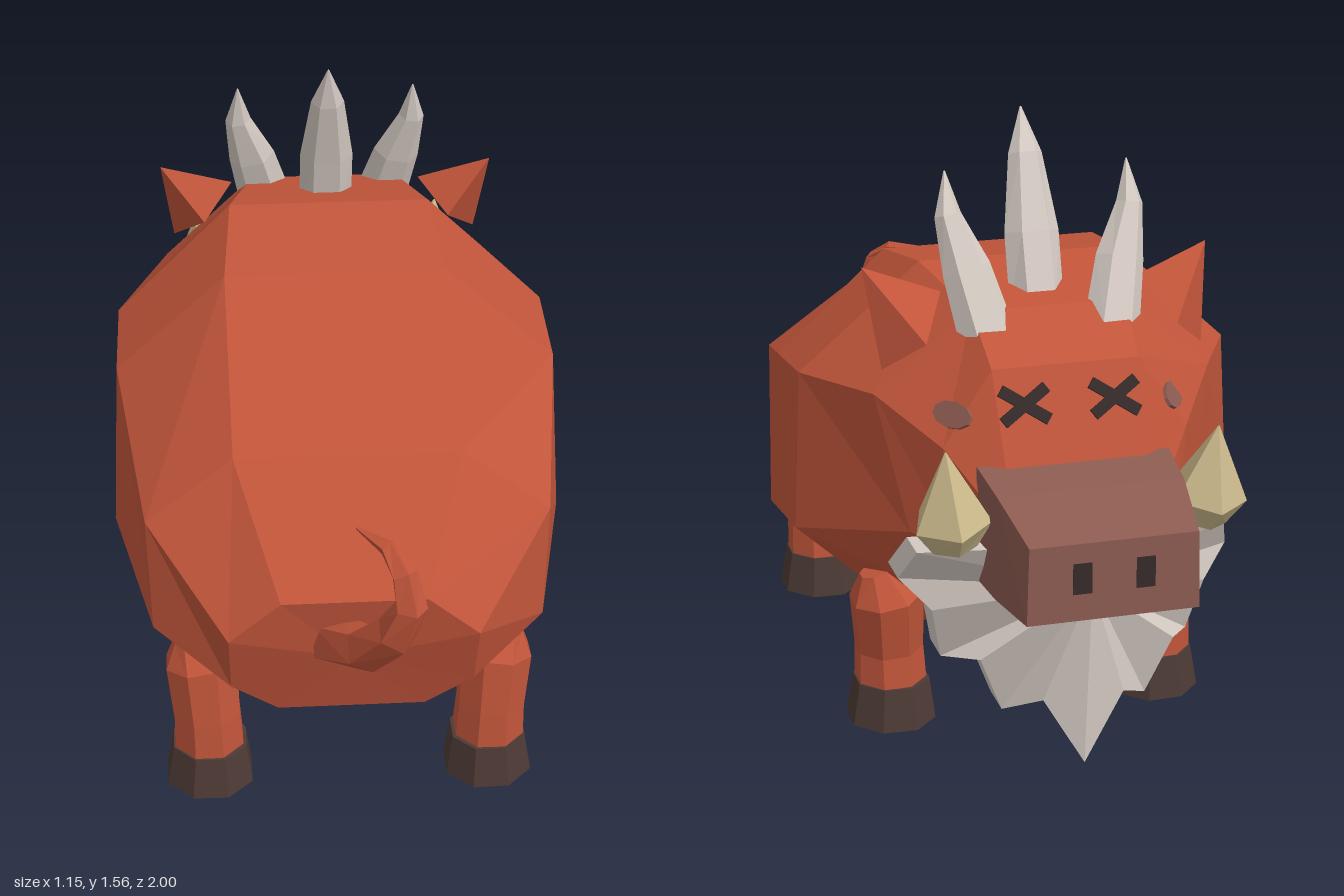
import * as THREE from 'three';

const mat = (name, color) => {
  const m = new THREE.MeshStandardMaterial({ color, flatShading: true });
  m.name = name;
  return m;
};
const hide = mat('rust hide', 0xc1553a);
const skin = mat('snout skin', 0x8c5b51);
const hoofMat = mat('dark hoof', 0x4d3a35);
const ink = mat('eye black', 0x352a29);
const hair = mat('pale hair', 0xd6ccc4);
const ivory = mat('ivory', 0xccba8c);

const V = (p) => new THREE.Vector3(...p);

// Skins a stack of rings (right-handed about the direction of advance) and caps both ends.
function loft(rings, endCentre) {
  const pos = [];
  const tri = (...pts) => pts.forEach((p) => pos.push(p.x, p.y, p.z));
  const mean = (r) => r.reduce((s, p) => s.add(p), new THREE.Vector3()).divideScalar(r.length);
  const n = rings[0].length;
  const first = rings[0], last = rings[rings.length - 1];
  const c0 = mean(first), c1 = endCentre || mean(last);
  for (let j = 0; j < n; j++) {
    const k = (j + 1) % n;
    for (let i = 0; i < rings.length - 1; i++) {
      const a = rings[i], b = rings[i + 1];
      tri(a[j], a[k], b[k]);
      tri(a[j], b[k], b[j]);
    }
    tri(c0, first[k], first[j]);
    tri(c1, last[j], last[k]);
  }
  const g = new THREE.BufferGeometry();
  g.setAttribute('position', new THREE.Float32BufferAttribute(pos, 3));
  g.computeVertexNormals();
  return g;
}

// Faceted limb along stations [x, y, z, radius across, radius in depth].
function limb(stations, sides, turn = 0) {
  const pts = stations.map((s) => V(s.slice(0, 3)));
  return loft(stations.map((s, i) => {
    const t = pts[Math.min(i + 1, pts.length - 1)].clone().sub(pts[Math.max(i - 1, 0)]).normalize();
    const u = new THREE.Vector3(1, 0, 0).addScaledVector(t, -t.x).normalize();
    const v = t.clone().cross(u);
    return Array.from({ length: sides }, (_, j) => {
      const a = turn + (j / sides) * Math.PI * 2;
      return pts[i].clone().addScaledVector(u, Math.cos(a) * s[3])
        .addScaledVector(v, Math.sin(a) * (s[4] ?? s[3]));
    });
  }));
}

// Closes a half outline (top to bottom on +x) with its mirror image.
const symmetric = (half) => [
  ...half.map(V),
  ...half.filter((p) => p[0] !== 0).reverse().map(([x, y, z]) => V([-x, y, z])),
];

function mirrored(geo) {
  const g = geo.index ? geo.toNonIndexed() : geo.clone();
  const p = g.attributes.position;
  for (let i = 0; i < p.count; i += 3) {
    const [a, b, c] = [0, 1, 2].map((k) => new THREE.Vector3().fromBufferAttribute(p, i + k));
    [a, c, b].forEach((q, k) => p.setXYZ(i + k, -q.x, q.y, q.z));
  }
  g.computeVertexNormals();
  return g;
}

export function createModel() {
  const model = new THREE.Group();
  model.name = 'boar';
  const add = (name, geo, material) => {
    const m = new THREE.Mesh(geo, material);
    m.name = name;
    model.add(m);
  };
  const pair = (name, geo, material) => {
    add(name + 'Left', geo, material);
    add(name + 'Right', mirrored(geo), material);
  };

  // Barrel body: eight-sided rings from rump to face (top, upper side, lower side, belly)
  add('body', loft([
    [[0.175, 0.655, 0.79], [0.3, 0.545, 0.785], [0.295, 0.37, 0.73], [0.18, 0.275, 0.7]],
    [[0.275, 0.9, 0.535], [0.49, 0.74, 0.555], [0.48, 0.445, 0.58], [0.27, 0.225, 0.48]],
    [[0.277, 1.137, 0.07], [0.555, 0.88, 0.07], [0.575, 0.46, 0.125], [0.265, 0.172, 0.14]],
    [[0.255, 1.185, -0.215], [0.55, 0.91, -0.17], [0.57, 0.505, -0.18], [0.265, 0.23, -0.22]],
    [[0.19, 1.13, -0.47], [0.42, 0.93, -0.43], [0.36, 0.61, -0.53], [0.2, 0.36, -0.47]],
    [[0.18, 1.03, -0.61], [0.3, 0.85, -0.62], [0.27, 0.6, -0.66], [0.15, 0.45, -0.6]],
    [[0.17, 0.8, -0.71], [0.22, 0.74, -0.71], [0.2, 0.6, -0.71], [0.12, 0.52, -0.68]],
  ].map(symmetric)), hide);

  // Snout with nostrils
  add('snout', loft([
    [[0.235, 0.82, -0.68], [0.24, 0.545, -0.68]],
    [[0.225, 0.798, -0.82], [0.23, 0.545, -0.82]],
    [[0.2, 0.74, -1], [0.205, 0.552, -1]],
  ].map(symmetric)), skin);
  pair('nostril', new THREE.BoxGeometry(0.045, 0.075, 0.008).translate(0.075, 0.655, -0.9975), ink);

  // Crossed eyes lying on the sloping brow
  for (const turn of [-0.6, 0.6]) {
    pair('eyeStroke', new THREE.BoxGeometry(0.135, 0.028, 0.009)
      .rotateZ(turn).rotateX(0.41).translate(0.11, 0.95, -0.649), ink);
  }

  // Oval temple marks
  const n = V([0.742, 0.518, -0.423]).normalize();
  const along = V([0.495, 0, 0.869]);
  const basis = new THREE.Matrix4().makeBasis(along, n, along.clone().cross(n));
  pair('templeMark', new THREE.CylinderGeometry(1, 1, 0.009, 10).scale(0.062, 1, 0.032)
    .applyMatrix4(basis).translate(0.271, 0.923, -0.598), skin);

  // Ears: four-sided pyramids
  const tip = [0.43, 1.225, -0.36];
  pair('ear', loft([
    [[0.31, 1.07, -0.51], [0.4, 0.99, -0.43], [0.32, 1.08, -0.32], [0.245, 1.16, -0.39]].reverse().map(V),
    Array(4).fill(tip).map(V),
  ]), hide);

  // Tusks
  pair('tusk', limb([
    [0.305, 0.65, -0.735, 0.055],
    [0.312, 0.715, -0.74, 0.095, 0.105],
    [0.33, 0.895, -0.76, 0.002],
  ], 5, 0.3), ivory);

  // Crest of three swept spikes
  add('crestMiddle', limb([
    [0, 1.1, -0.37, 0.068, 0.055],
    [0, 1.27, -0.32, 0.068, 0.045],
    [0, 1.45, -0.26, 0.042, 0.033],
    [0, 1.555, -0.22, 0.002],
  ], 6), hair);
  pair('crestSide', limb([
    [0.155, 1.07, -0.48, 0.07, 0.055],
    [0.19, 1.22, -0.425, 0.06, 0.045],
    [0.225, 1.345, -0.385, 0.033, 0.03],
    [0.225, 1.445, -0.355, 0.002],
  ], 6), hair);

  // Jagged beard: zigzag outline given depth, with a raised chin point
  const beard = [
    [0.2, 0.65, -0.78], [0.38, 0.62, -0.68], [0.41, 0.53, -0.61], [0.34, 0.46, -0.66],
    [0.31, 0.32, -0.62], [0.24, 0.35, -0.73], [0.18, 0.2, -0.7], [0.1, 0.25, -0.78], [0, 0.08, -0.795],
  ];
  add('beard', loft([
    symmetric(beard.map(([x, y, z]) => [x, y, z + 0.1])),
    symmetric(beard),
  ], V([0, 0.56, -0.84])), hair);

  // Legs and hooves
  for (const [name, z, lean] of [['back', 0.6, -0.02], ['front', -0.265, -0.025]]) {
    pair(name + 'Hoof', limb([
      [0.352, 0, z, 0.115], [0.35, 0.11, z, 0.098],
    ], 8, Math.PI / 8), hoofMat);
    pair(name + 'Leg', limb([
      [0.352, 0.11, z, 0.092], [0.355, 0.2, z, 0.088],
      [0.365, 0.35, z + lean, 0.095], [0.39, 0.418, z + lean, 0.045],
    ], 8, Math.PI / 8), hide);
  }

  // Curled tail
  add('tail', limb([
    [-0.05, 0.51, 0.74, 0.065], [0.02, 0.57, 0.86, 0.058], [0.085, 0.67, 0.935, 0.052],
    [0.115, 0.76, 0.96, 0.04], [0.1, 0.84, 0.94, 0.032], [0.065, 0.885, 0.895, 0.02],
    [0, 0.9, 0.835, 0.004],
  ], 5), hide);

  return model;
}
